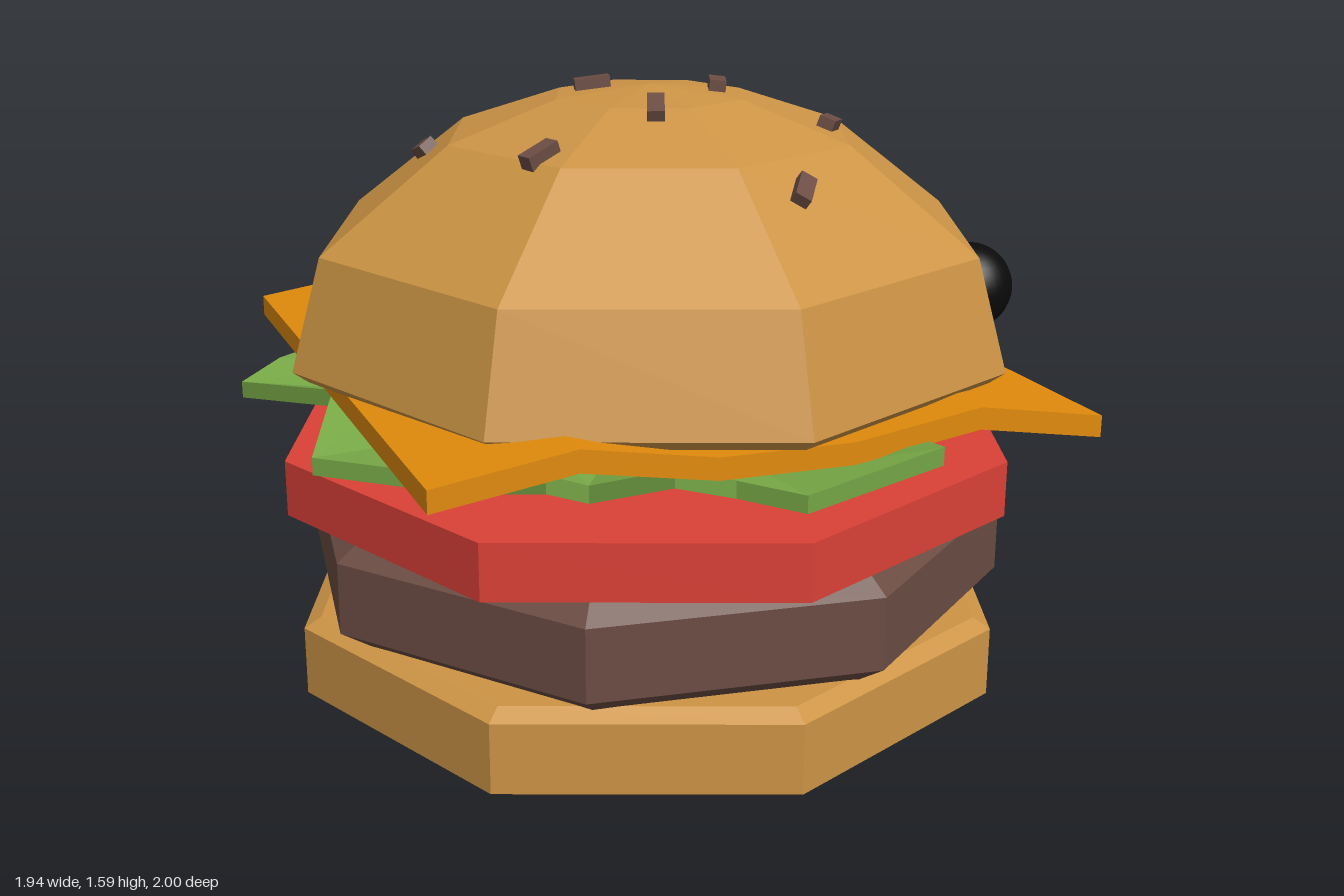
import * as THREE from 'three';

const mat = (color) => new THREE.MeshStandardMaterial({ color, flatShading: true, roughness: 0.9 });
const bunMat = mat(0xcd9445), pattyMat = mat(0x6b4c43), tomatoMat = mat(0xda4036);
const cheeseMat = mat(0xe08a0c), lettuceMat = mat(0x78a947);
const eyeMat = new THREE.MeshStandardMaterial({ color: 0x0a0a0a, roughness: 0.9 });

const BUN_Z = 0.045;
const CROWN = [[0, 0.89], [0.9, 0.89], [0.94, 0.92], [0.86, 1.2], [0.53, 1.45], [0.25, 1.545], [0, 1.57]];

function addMesh(parent, name, geometry, material) {
  const mesh = new THREE.Mesh(geometry, material);
  mesh.name = name;
  parent.add(mesh);
  return mesh;
}

// Eight-sided layer turned from a [radius, height] profile
function layer(parent, name, profile, material, z, turn = 0) {
  const points = profile.map(([r, y]) => new THREE.Vector2(r, y));
  const mesh = addMesh(parent, name, new THREE.LatheGeometry(points, 8), material);
  mesh.position.z = z;
  mesh.rotation.y = turn;
}

// Height and normal of the faceted crown at (x, z)
function crownSurface(x, z) {
  const dz = z - BUN_Z;
  const face = (Math.floor(Math.atan2(x, dz) / (Math.PI / 4)) + 0.5) * Math.PI / 4;
  const apothem = Math.cos(Math.PI / 8);
  const r = (x * Math.sin(face) + dz * Math.cos(face)) / apothem;
  for (let i = 3; i < CROWN.length - 1; i++) {
    const [r0, y0] = CROWN[i], [r1, y1] = CROWN[i + 1];
    if (r > r0 || r < r1) continue;
    const y = y0 + (y1 - y0) * (r0 - r) / (r0 - r1);
    const out = y1 - y0, up = (r0 - r1) * apothem;
    return { y, normal: new THREE.Vector3(Math.sin(face) * out, up, Math.cos(face) * out).normalize() };
  }
}

// Thin ruffled leaf: centre, inner ring and ragged edge, on a top and a bottom sheet
function leafGeometry(edge, thickness) {
  const base = 0.72, n = edge.length;
  const inner = edge.map(([x, z, y]) => [x * 0.8, z * 0.8, Math.max(base, base + (y - base) * 0.6)]);
  const position = [], index = [];
  for (const drop of [0, thickness]) {
    for (const [x, z, y] of [[0, 0, base], ...inner, ...edge]) position.push(x, y - drop, z);
  }
  const bottom = 2 * n + 1;
  for (let i = 0; i < n; i++) {
    const a = 1 + i, b = 1 + (i + 1) % n, c = a + n, d = b + n;
    for (const [p, q, r] of [[0, a, b], [a, c, d], [a, d, b]]) {
      index.push(p, q, r, p + bottom, r + bottom, q + bottom);
    }
    index.push(c, c + bottom, d + bottom, c, d + bottom, d);
  }
  const geometry = new THREE.BufferGeometry();
  geometry.setAttribute('position', new THREE.Float32BufferAttribute(position, 3));
  geometry.setIndex(index);
  geometry.computeVertexNormals();
  return geometry;
}

export function createModel() {
  const burger = new THREE.Group();
  burger.name = 'burger';

  // Bread, patty and tomato
  layer(burger, 'bottomBun', [[0, 0], [0.84, 0], [0.945, 0.055], [0.945, 0.235], [0.9, 0.26], [0, 0.26]], bunMat, BUN_Z - 0.01);
  layer(burger, 'patty', [[0, 0.255], [0.85, 0.255], [0.93, 0.31], [0.93, 0.495], [0.86, 0.545], [0, 0.545]],
    pattyMat, 0.035, THREE.MathUtils.degToRad(14));
  layer(burger, 'tomato', [[0, 0.545], [0.968, 0.545], [0.968, 0.688], [0.76, 0.688], [0.74, 0.65], [0, 0.65]], tomatoMat, 0.027);
  layer(burger, 'topBun', CROWN, bunMat, BUN_Z);

  // Lettuce edge as [x, z, y]
  const edge = [
    [0.06, 0.85, 0.74], [0.34, 0.97, 0.86], [0.45, 0.45, 0.74], [0.62, 0.5, 0.8],
    [0.92, 0.1, 0.75], [0.7, -0.2, 0.74], [0.8, -0.5, 0.8], [0.33, -0.8, 0.75],
    [0.09, -0.96, 0.79], [-0.1, -0.55, 0.73], [-0.29, -0.82, 0.74], [-0.37, -1, 0.62],
    [-0.62, -0.8, 0.75], [-0.84, -0.62, 0.76], [-0.97, -0.5, 0.74], [-0.8, -0.15, 0.8],
    [-0.93, 0.17, 0.74], [-0.65, 0.45, 0.75], [-0.52, 0.7, 0.82], [-0.38, 0.6, 0.74],
    [-0.25, 0.8, 0.83], [-0.05, 0.7, 0.74],
  ];
  addMesh(burger, 'lettuce', leafGeometry(edge, 0.045), lettuceMat);

  // Cheese slice: a bent strip extruded front to back
  const bend = [[-0.84, 0.89], [-0.5, 0.934], [-0.17, 0.87], [0.17, 0.86], [0.5, 0.902], [0.84, 0.838]];
  const strip = [...bend.map(([x, y]) => [x, y - 0.055]), ...bend.reverse()];
  const shape = new THREE.Shape(strip.map(([x, y]) => new THREE.Vector2(x, y)));
  const cheese = addMesh(burger, 'cheese', new THREE.ExtrudeGeometry(shape, { depth: 1.68, bevelEnabled: false }), cheeseMat);
  cheese.position.z = -0.813;

  // Eyes, one large and one small
  for (const [name, r, x, z] of [['largeEye', 0.113, 0.757, 0.375], ['smallEye', 0.07, 0.745, -0.295]]) {
    addMesh(burger, name, new THREE.SphereGeometry(r, 32, 20), eyeMat).position.set(x, 1.05, z);
  }

  // Seeds as [x, z, direction x, direction z], laid flat on the crown
  const seeds = [
    [-0.13, -0.56, 0.25, -1], [0.18, -0.33, 0.5, 0.8], [-0.5, -0.24, 0.2, 1], [0.6, -0.13, 1, 0.1],
    [-0.12, -0.04, 1, 0.25], [0.17, 0.08, 0.4, -1], [-0.08, 0.28, 0.4, -1], [0.4, 0.25, 0.7, -0.8],
    [-0.39, 0.33, 1, -0.35], [0.15, 0.6, 0.4, -1],
  ];
  const seedGeometry = new THREE.BoxGeometry(0.09, 0.04, 0.042);
  for (const [x, z, dx, dz] of seeds) {
    const { y, normal } = crownSurface(x, z);
    const side = new THREE.Vector3(dx, 0, dz).cross(normal).normalize();
    const along = normal.clone().cross(side);
    const seed = addMesh(burger, 'seed', seedGeometry, pattyMat);
    seed.quaternion.setFromRotationMatrix(new THREE.Matrix4().makeBasis(along, normal, side));
    seed.position.set(x, y, z).addScaledVector(normal, 0.008);
  }
  return burger;
}
